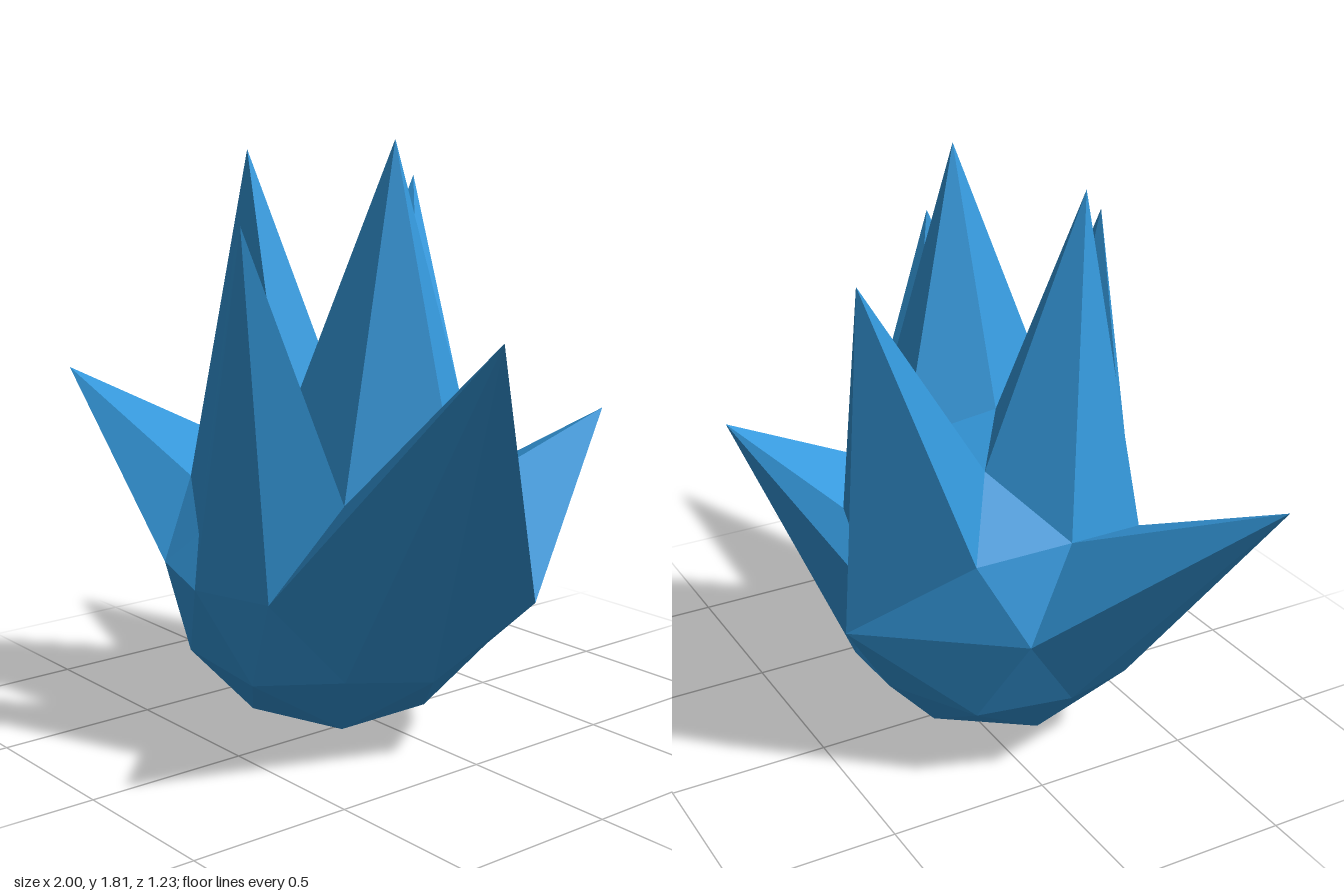
import * as THREE from 'three';

// Low-poly ball made of rings of five points, with some points pulled out into spikes.
const R = 0.527;
const CENTER = [-0.04, R, 0.09];

function ring(offsetDeg, height, radius) {
  return Array.from({ length: 5 }, (_, k) => {
    const a = THREE.MathUtils.degToRad(72 * k + offsetDeg);
    return [
      CENTER[0] + R * radius * Math.cos(a),
      CENTER[1] + R * height,
      CENTER[2] - R * radius * Math.sin(a),
    ];
  });
}

export function createModel() {
  // Rings from top to bottom
  const top = [CENTER[0], 2 * R, CENTER[2]];
  const cap = ring(0, 0.851, 0.526);
  const upper = ring(0, 0.447, 0.894);
  const upperMid = ring(36, 0.526, 0.851);
  const eqA = ring(-18, 0, 1);
  const eqB = ring(18, 0, 1);
  const lowerMid = ring(0, -0.526, 0.851);
  const lower = ring(36, -0.447, 0.894);
  const base = ring(36, -0.851, 0.526);
  const bottom = [CENTER[0], 0, CENTER[2]];

  // Spike tips
  eqA[0] = [1.0, 1.35, 0.4];
  eqA[3] = [-1.0, 1.04, 0.45];
  eqA[1] = [0.4, 0.98, -0.61];
  upperMid[1] = [-0.4, 1.66, -0.53];
  upper[4] = [0.09, 1.58, 0.53];
  cap[0] = [0.23, 1.81, 0.09];
  cap[3] = [-0.26, 1.77, 0.25];

  // Points shifted beside the spikes
  eqB[0] = [0.66, 0.52, -0.07];
  eqB[1] = [-0.04, 0.52, -0.33];
  eqA[2] = [-0.2, 0.52, -0.5];
  eqB[4] = [0.2, 0.52, 0.53];
  upper[0] = [0.52, 0.77, 0.09];
  upperMid[3] = [-0.26, 0.62, 0.45];

  // One fifth of the surface per step
  const positions = [];
  const tri = (...corners) => corners.forEach((c) => positions.push(...c));
  for (let k = 0; k < 5; k++) {
    const n = (k + 1) % 5;
    const p = (k + 4) % 5;
    // Crown
    tri(top, cap[k], cap[n]);
    tri(cap[k], upper[k], upperMid[k]);
    tri(cap[k], upperMid[k], cap[n]);
    tri(cap[n], upperMid[k], upper[n]);
    // Belt
    tri(upper[k], eqB[k], upperMid[k]);
    tri(upperMid[k], eqB[k], eqA[n]);
    tri(upper[n], upperMid[k], eqA[n]);
    tri(lower[k], eqA[n], eqB[k]);
    tri(upper[k], eqA[k], eqB[k]);
    tri(lowerMid[k], eqB[k], eqA[k]);
    tri(lower[k], eqB[k], lowerMid[k]);
    tri(lower[p], lowerMid[k], eqA[k]);
    // Underside
    tri(lower[p], base[p], lowerMid[k]);
    tri(lower[k], lowerMid[k], base[k]);
    tri(lowerMid[k], base[p], base[k]);
    tri(base[k], base[p], bottom);
  }

  const geometry = new THREE.BufferGeometry();
  geometry.setAttribute('position', new THREE.Float32BufferAttribute(positions, 3));
  geometry.computeVertexNormals();

  const material = new THREE.MeshStandardMaterial({ color: 0x3498db, flatShading: true });
  const mesh = new THREE.Mesh(geometry, material);
  mesh.name = 'spikyBody';

  const group = new THREE.Group();
  group.name = 'spikyPlant';
  group.add(mesh);
  return group;
}
